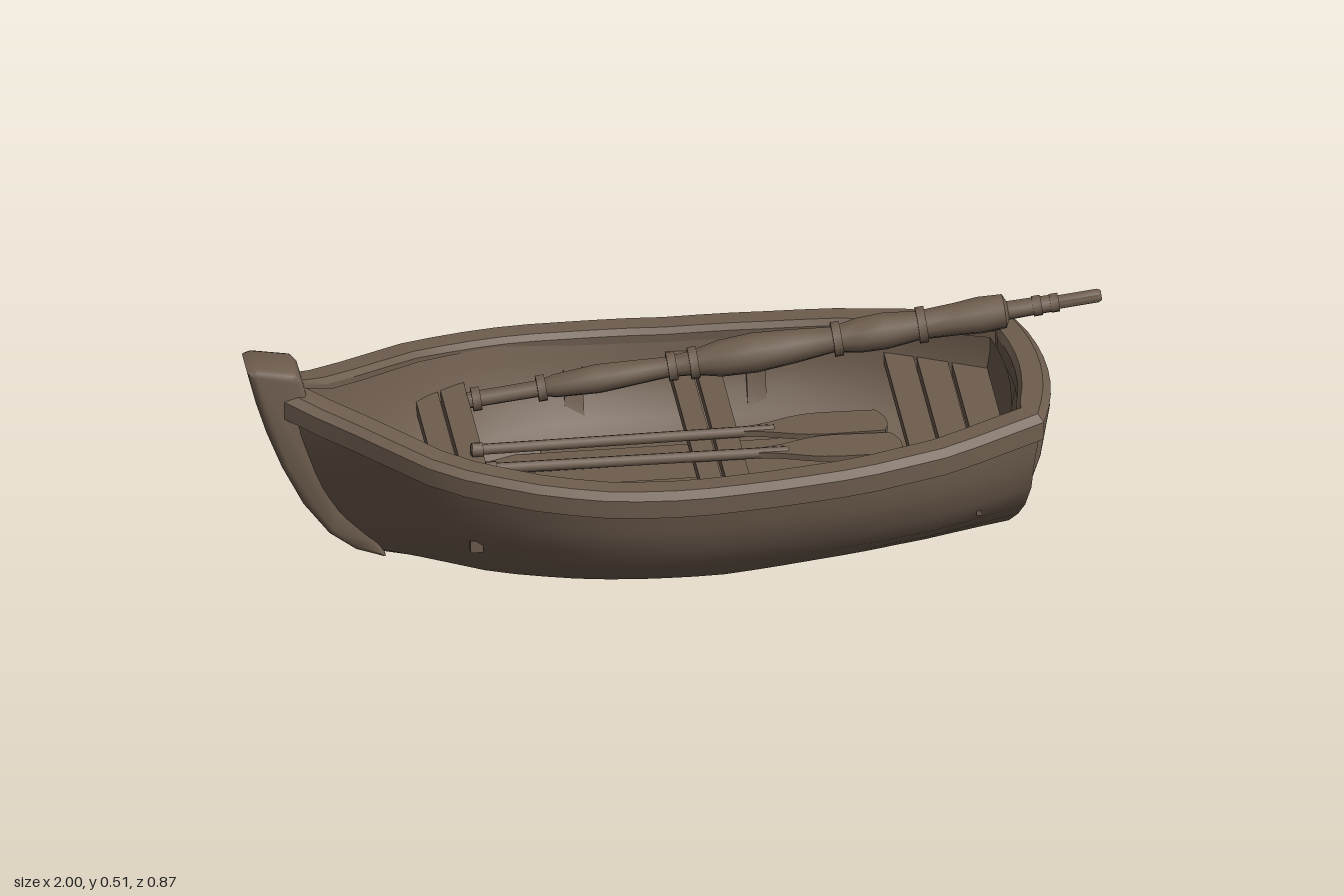
import * as THREE from 'three';
import { toCreasedNormals } from 'three/addons/utils/BufferGeometryUtils.js';

const wood = new THREE.MeshStandardMaterial({ color: 0x6e5d4e, side: THREE.DoubleSide });
wood.name = 'weathered wood';

const lerp = THREE.MathUtils.lerp, clamp = THREE.MathUtils.clamp;

// Piecewise linear curve through [t, value] pairs
const curve = pts => t => {
  let i = 0;
  while (i < pts.length - 2 && t > pts[i + 1][0]) i++;
  const [a, b] = [pts[i], pts[i + 1]];
  return lerp(a[1], b[1], clamp((t - a[0]) / (b[0] - a[0]), 0, 1));
};

// Hull lines: rail height and half width along x, end rakes and section shapes over height v
const sheer = curve([[-0.92, 0.445], [-0.86, 0.425], [-0.57, 0.365], [-0.36, 0.343], [-0.2, 0.33], [0, 0.325], [0.3, 0.335], [0.6, 0.352], [0.82, 0.37]]);
const beam = curve([[-0.92, 0.04], [-0.8, 0.125], [-0.58, 0.305], [-0.4, 0.378], [-0.25, 0.412], [-0.09, 0.423], [0.15, 0.412], [0.38, 0.388], [0.58, 0.338], [0.8, 0.238]]);
const LEVELS = [0, 0.05, 0.17, 0.31, 0.48, 0.69, 0.88, 1];
const overV = vals => curve(LEVELS.map((v, i) => [v, vals[i]]));
const bowX = overV([-0.68, -0.74, -0.79, -0.835, -0.87, -0.895, -0.915, -0.92]);
const sternX = overV([0.735, 0.75, 0.765, 0.775, 0.785, 0.79, 0.8, 0.8]);
const bowSec = overV([0.5, 0.6, 0.68, 0.76, 0.84, 0.92, 0.97, 1]);
const midSec = overV([0.52, 0.62, 0.72, 0.83, 0.91, 0.96, 0.98, 1]);
const sternSec = overV([0.25, 0.38, 0.58, 0.78, 0.91, 0.98, 1, 1]);

const topX = u => lerp(-0.92, 0.8, u);
function halfWidth(u, v) {
  const mid = lerp(bowSec(v), midSec(v), Math.min(1, u / 0.35));
  return beam(topX(u)) * lerp(mid, sternSec(v), clamp((u - 0.55) / 0.45, 0, 1));
}
const hullTop = u => sheer(topX(u)) - 0.02;

// Half width of the hull at a given x and height
function widthAt(x, y) {
  const v = clamp(y / (sheer(x) - 0.02), 0, 1);
  return halfWidth(clamp((x - bowX(v)) / (sternX(v) - bowX(v)), 0, 1), v);
}

// Smooth surface through rows of points
function surface(rows, crease = 0.6) {
  const n = rows[0].length, index = [];
  for (let i = 0; i < rows.length - 1; i++) for (let j = 0; j < n - 1; j++) {
    const a = i * n + j, b = a + n;
    index.push(a, b, a + 1, b, b + 1, a + 1);
  }
  const g = new THREE.BufferGeometry();
  g.setAttribute('position', new THREE.Float32BufferAttribute(rows.flat(2), 3));
  g.setIndex(index);
  return toCreasedNormals(g, crease);
}

// Side shell and curved transom; inset > 0 makes the inner skin
const STATIONS = 22, SKIN = 0.058;
function shellRows(inset) {
  const rows = [];
  for (let i = 0; i <= STATIONS; i++) {
    const u = i / STATIONS;
    const point = (v, side) => [
      lerp(bowX(v) + inset, sternX(v) - inset, u),
      lerp(inset, hullTop(u), v),
      side * Math.max(0.002, halfWidth(u, v) - inset)];
    rows.push([...LEVELS.map(v => point(v, 1)).reverse(), ...LEVELS.map(v => point(v, -1))]);
  }
  return rows;
}
function transomRows(inset) {
  return LEVELS.map(v => Array.from({ length: 9 }, (_, k) => {
    const s = k / 4 - 1;
    return [sternX(v) - inset + 0.018 * (1 - s * s) * Math.min(1, v * 2),
      lerp(inset, hullTop(1), v), s * Math.max(0.002, halfWidth(1, v) - inset)];
  }));
}

// Rail swept round both sides and the stern, where its outer face leans in below
function railGeometry() {
  const path = [];
  for (let i = 0; i <= STATIONS; i++) path.push([topX(i / STATIONS), beam(topX(i / STATIONS))]);
  for (let k = 3; k >= 0; k--) path.push([0.8 + 0.038 * (1 - (k / 4) ** 2), 0.238 * k / 4]);
  const full = [...path, ...path.slice(0, -1).reverse().map(([x, z]) => [x, -z])];
  return surface(full.map(([x, z], i) => {
    const a = full[Math.max(0, i - 1)], b = full[Math.min(full.length - 1, i + 1)];
    const dx = b[0] - a[0], dz = b[1] - a[1], len = Math.hypot(dx, dz);
    const foot = x > 0.801 ? -0.014 : 0.014;
    const section = [[-0.062, -0.06], [foot, -0.06], [0.014, -0.016], [-0.004, 0], [-0.052, 0], [-0.062, -0.014], [-0.062, -0.06]];
    return section.map(([o, y]) => {
      let pz = z + o * dx / len;
      if (z * pz < 0) pz = 0;
      return [x - o * dz / len, sheer(x) + y, pz];
    });
  }), 0.5);
}

// Side profile extruded across the boat with rounded edges
function post(points, width, bevel) {
  const shape = new THREE.Shape(points.map(p => new THREE.Vector2(...p)));
  const g = new THREE.ExtrudeGeometry(shape, { depth: width - 2 * bevel, bevelThickness: bevel, bevelSize: bevel, bevelOffset: -bevel, bevelSegments: 2 });
  g.translate(0, 0, bevel - width / 2);
  return toCreasedNormals(g, 0.8);
}

export function createModel() {
  const boat = new THREE.Group();
  boat.name = 'rowingBoat';
  const add = (name, geometry, parent = boat) => {
    const m = new THREE.Mesh(geometry, wood);
    m.name = name;
    parent.add(m);
    return m;
  };
  const box = (name, x0, x1, y0, y1, z0, z1) =>
    add(name, new THREE.BoxGeometry(x1 - x0, y1 - y0, z1 - z0)).position.set((x0 + x1) / 2, (y0 + y1) / 2, (z0 + z1) / 2);

  add('hullOuter', surface(shellRows(0)));
  add('hullInner', surface(shellRows(SKIN)));
  add('transomOuter', surface(transomRows(0)));
  add('transomInner', surface(transomRows(SKIN)));
  add('rail', railGeometry());

  // Stem and stern posts
  add('stemPost', post([[-0.68, 0.002], [-0.75, 0.025], [-0.81, 0.07], [-0.87, 0.15], [-0.92, 0.25], [-0.955, 0.34], [-0.98, 0.42], [-1, 0.5],
    [-0.98, 0.507], [-0.89, 0.492], [-0.875, 0.475], [-0.86, 0.42], [-0.865, 0.34], [-0.83, 0.24], [-0.78, 0.14], [-0.7, 0.06]], 0.12, 0.015));
  add('sternPost', post([[0.68, 0.002], [0.745, 0.002], [0.775, 0.03], [0.81, 0.09], [0.83, 0.15], [0.852, 0.28], [0.838, 0.29], [0.78, 0.29], [0.75, 0.12], [0.7, 0.05]], 0.088, 0.01));

  // Floor sheet fitted to the hull, with thin planks cut to length on it
  const FLOOR = 0.1, PLANKS = 7, PITCH = 0.08;
  add('floor', surface(Array.from({ length: 25 }, (_, i) => {
    const x = lerp(-0.78, 0.74, i / 24), w = Math.max(0.01, widthAt(x, FLOOR) - 0.045);
    return [[x, FLOOR, -w], [x, FLOOR, w]];
  })));
  for (let i = 0; i < PLANKS; i++) {
    const z = (i - (PLANKS - 1) / 2) * PITCH, reach = Math.abs(z) + PITCH / 2;
    let x0 = -0.75, x1 = 0.72;
    while (x0 < -0.2 && widthAt(x0, FLOOR) - 0.045 < reach) x0 += 0.02;
    while (x1 > 0.2 && widthAt(x1, FLOOR) - 0.045 < reach) x1 -= 0.02;
    box('floorPlank', x0, x1, FLOOR, FLOOR + 0.006 + (i % 2) * 0.004, z - PITCH / 2 + 0.002, z + PITCH / 2 - 0.002);
  }

  // Bench planks
  for (const [x0, x1] of [[-0.58, -0.525], [-0.518, -0.46], [0.015, 0.065], [0.074, 0.13], [0.51, 0.575], [0.582, 0.65], [0.658, 0.735]]) {
    const half = Math.min(widthAt(x0, 0.255), widthAt(x1, 0.255)) - 0.03;
    box('benchPlank', x0, x1, 0.242, 0.27, -half, half);
  }

  // Ribs following the inner side, and small pegs through the hull
  for (const side of [1, -1]) {
    for (const x of [-0.2, 0.22]) {
      add('rib', surface([0.095, 0.13, 0.17, 0.21, 0.25].map(y => {
        const w = widthAt(x, y) - 0.045, a = side * w, b = side * (w - 0.035);
        return [[x - 0.022, y, a], [x - 0.022, y, b], [x + 0.022, y, b], [x + 0.022, y, a]];
      })));
    }
    for (const [x, y, s] of [[-0.5, 0.135, 0.03], [0.66, 0.13, 0.012]]) {
      const z = side * (widthAt(x, y) - 0.006);
      box('hullPeg', x - s / 2, x + s / 2, y - s / 2, y + s / 2, z - 0.012, z + 0.012);
    }
  }

  // Two oars resting on the benches
  const blade = new THREE.Shape();
  blade.moveTo(0.14, -0.012);
  blade.bezierCurveTo(0.22, -0.02, 0.24, -0.055, 0.32, -0.055);
  blade.lineTo(0.45, -0.05);
  blade.quadraticCurveTo(0.485, 0, 0.46, 0.05);
  blade.lineTo(0.32, 0.05);
  blade.bezierCurveTo(0.24, 0.045, 0.22, 0.02, 0.14, 0.012);
  for (const [x, z, turn] of [[0, 0.08, 0.01], [0.02, 0.183, -0.01]]) {
    const oar = new THREE.Group();
    oar.name = 'oar';
    add('oarShaft', new THREE.CylinderGeometry(0.013, 0.013, 0.7, 8).rotateZ(Math.PI / 2).translate(-0.14, 0, 0), oar);
    add('oarGrip', new THREE.CylinderGeometry(0.017, 0.017, 0.025, 8).rotateZ(Math.PI / 2).translate(-0.475, 0, 0), oar);
    add('oarBlade', new THREE.ExtrudeGeometry(blade, { depth: 0.014, bevelEnabled: false, curveSegments: 6 }).translate(0, 0, -0.007).rotateX(Math.PI / 2), oar);
    oar.position.set(x, 0.284, z);
    oar.rotation.y = turn;
    boat.add(oar);
  }

  // Furled sail bundle on its spar, tied with bands
  const from = new THREE.Vector3(-0.46, 0.258, -0.2), to = new THREE.Vector3(0.998, 0.44, -0.18);
  const dir = to.clone().sub(from), slope = dir.length() / dir.x;
  const bundle = new THREE.Group();
  bundle.name = 'furledSail';
  const lathe = (name, pts) => add(name, toCreasedNormals(new THREE.LatheGeometry(
    pts.map(([x, r]) => new THREE.Vector2(r, (x + 0.46) * slope)), 10), 0.7), bundle);
  lathe('spar', [[-0.46, 0], [-0.46, 0.019], [0.78, 0.022], [0.88, 0.02], [0.9, 0.016], [0.99, 0.016], [0.998, 0.012], [0.998, 0]]);
  lathe('sailCloth', [[-0.29, 0.018], [-0.26, 0.027], [-0.16, 0.034], [-0.06, 0.028], [0, 0.024], [0.06, 0.029], [0.12, 0.043], [0.2, 0.047], [0.29, 0.04], [0.38, 0.03],
    [0.44, 0.041], [0.5, 0.043], [0.58, 0.034], [0.66, 0.038], [0.72, 0.043], [0.775, 0.04], [0.785, 0.017]]);
  for (const [x, r] of [[-0.44, 0.028], [-0.29, 0.031], [0.01, 0.034], [0.06, 0.038], [0.39, 0.041], [0.585, 0.043], [0.85, 0.024], [0.89, 0.022]])
    lathe('band', [[x - 0.01, 0], [x - 0.01, r], [x + 0.01, r], [x + 0.01, 0]]);
  bundle.position.copy(from);
  bundle.quaternion.setFromUnitVectors(new THREE.Vector3(0, 1, 0), dir.normalize());
  boat.add(bundle);

  return boat;
}
